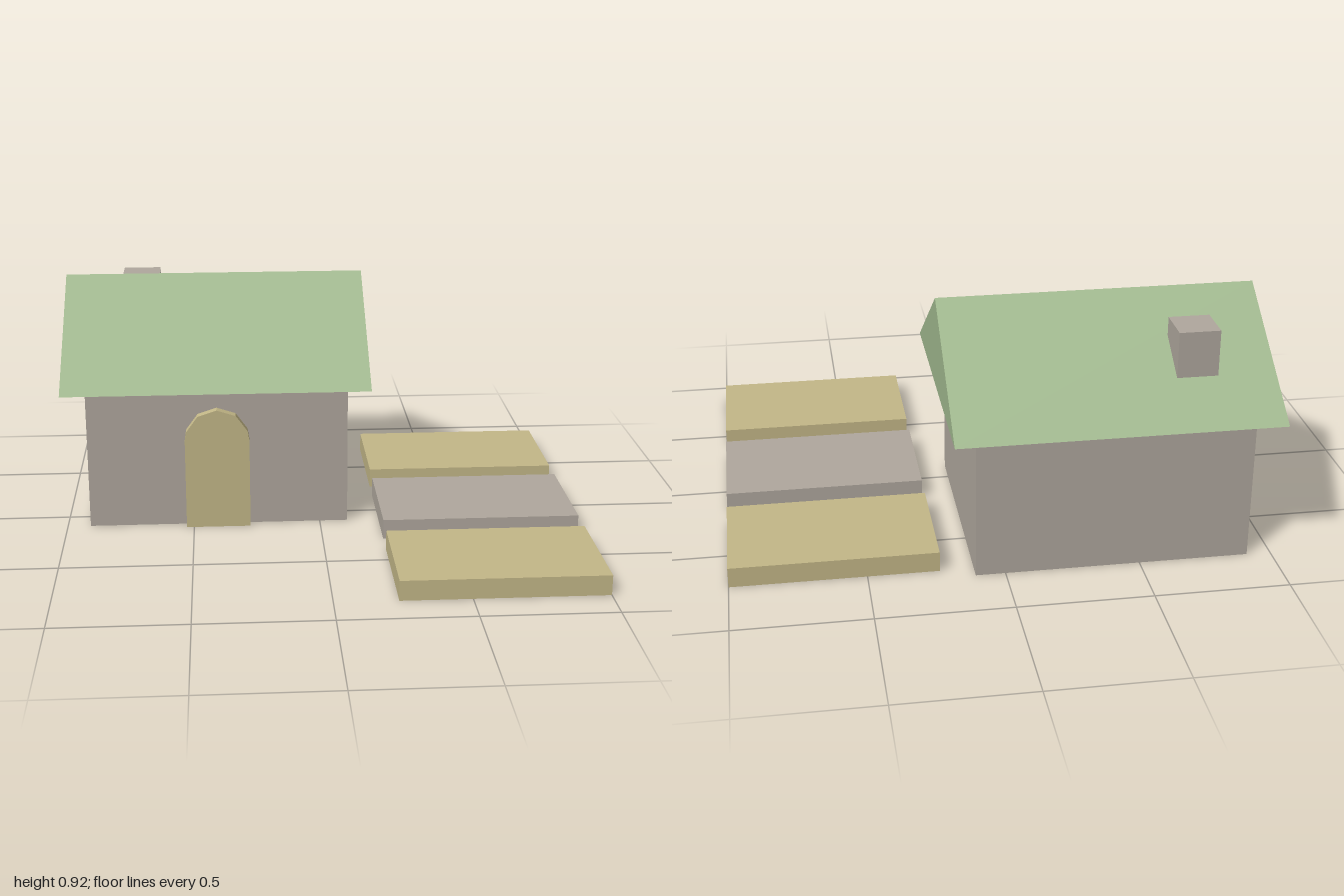
import * as THREE from 'three';

const mat = (name, color) => {
  const m = new THREE.MeshStandardMaterial({ color });
  m.name = name;
  return m;
};

export function createModel() {
  const model = new THREE.Group();
  const stone = mat('warm grey', 0xb0a89e);
  const tan = mat('tan', 0xc4b888);
  const green = mat('sage green', 0xa0b88e);

  const add = (name, geometry, material) => {
    const mesh = new THREE.Mesh(geometry, material);
    mesh.name = name;
    model.add(mesh);
    return mesh;
  };
  // Box given by its extents on each axis
  const box = (name, material, [x0, x1], [y0, y1], [z0, z1]) =>
    add(name, new THREE.BoxGeometry(x1 - x0, y1 - y0, z1 - z0), material)
      .position.set((x0 + x1) / 2, (y0 + y1) / 2, (z0 + z1) / 2);

  // House body and chimney
  box('walls', stone, [-0.91, 0.11], [0, 0.565], [-0.77, 0.097]);
  box('chimney', stone, [-0.785, -0.633], [0.6, 0.868], [-0.67, -0.518]);

  // Solid gable roof, extruded along x
  const gable = new THREE.Shape([
    new THREE.Vector2(-0.52, 0),
    new THREE.Vector2(0.52, 0),
    new THREE.Vector2(0, 0.355),
  ]);
  const roofGeometry = new THREE.ExtrudeGeometry(gable, { depth: 1.196, bevelEnabled: false });
  roofGeometry.rotateY(Math.PI / 2);
  add('roof', roofGeometry, green).position.set(-1, 0.565, -0.338);

  // Door with a faceted arch, following the upper part of a decagon
  const radius = 0.126;
  const springY = 0.358;
  const outline = [new THREE.Vector2(-radius, 0), new THREE.Vector2(radius, 0), new THREE.Vector2(radius, springY)];
  for (let i = 0; i < 5; i++) {
    const a = THREE.MathUtils.degToRad(18 + i * 36);
    outline.push(new THREE.Vector2(radius * Math.cos(a), springY + radius * Math.sin(a)));
  }
  outline.push(new THREE.Vector2(-radius, springY));
  const doorGeometry = new THREE.ExtrudeGeometry(new THREE.Shape(outline), { depth: 0.05, bevelEnabled: false });
  add('door', doorGeometry, tan).position.set(-0.403, 0, 0.084);

  // Three garden beds in a row beside the house
  [[-0.72, tan], [-0.16, stone], [0.402, tan]].forEach(([z, material], i) =>
    box(`gardenBed${i + 1}`, material, [0.235, 1], [0, 0.077], [z, z + 0.457]));

  return model;
}
